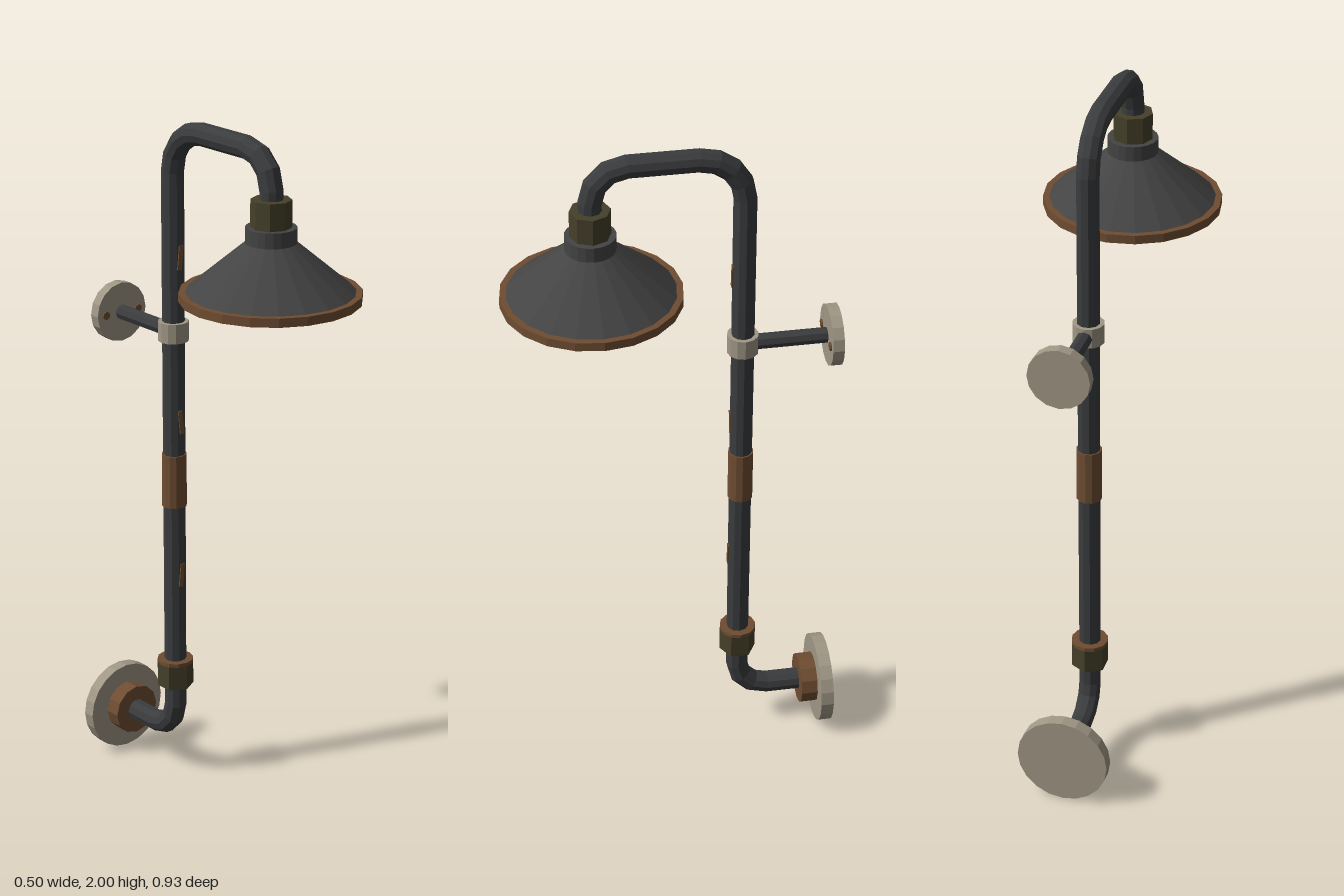
import * as THREE from 'three';

const mat = (name, color) => {
  const m = new THREE.MeshStandardMaterial({ color, flatShading: true });
  m.name = name;
  return m;
};

// Faceted pipe swept along a path of [y, z] points, mitred at every bend
function pipeGeometry(path, radius, sides) {
  const pts = path.map(([y, z]) => new THREE.Vector3(0, y, z));
  const X = new THREE.Vector3(1, 0, 0);
  const pos = [], index = [];
  pts.forEach((p, i) => {
    const t0 = pts[Math.max(i, 1)].clone().sub(pts[Math.max(i, 1) - 1]).normalize();
    const k = Math.min(i, pts.length - 2);
    const t1 = pts[k + 1].clone().sub(pts[k]).normalize();
    const T = t0.clone().add(t1).normalize();
    const N = T.clone().cross(X).divideScalar(T.dot(t0));
    for (let j = 0; j < sides; j++) {
      const a = (j / sides) * Math.PI * 2;
      const v = p.clone().addScaledVector(X, radius * Math.cos(a)).addScaledVector(N, radius * Math.sin(a));
      pos.push(v.x, v.y, v.z);
      if (i < pts.length - 1) {
        const a0 = i * sides + j, b0 = i * sides + (j + 1) % sides;
        index.push(a0, b0, a0 + sides, b0, b0 + sides, a0 + sides);
      }
    }
  });
  const g = new THREE.BufferGeometry();
  g.setAttribute('position', new THREE.Float32BufferAttribute(pos, 3));
  g.setIndex(index);
  g.computeVertexNormals();
  return g;
}

// Points of a quarter bend in the [y, z] plane
function bend(cy, cz, r, from, to, steps) {
  return Array.from({ length: steps + 1 }, (_, i) => {
    const a = THREE.MathUtils.degToRad(from + ((to - from) * i) / steps);
    return [cy + r * Math.sin(a), cz + r * Math.cos(a)];
  });
}

export function createModel() {
  const group = new THREE.Group();
  const iron = mat('dark iron', 0x3b3c3e);
  const shadeGrey = mat('shade grey', 0x444444);
  const copper = mat('rusty copper', 0x6f4d32);
  const brass = mat('aged brass', 0x45402a);
  const stone = mat('pale nickel', 0xa09785);
  const plateGrey = mat('spray plate grey', 0x504d44);
  const black = mat('nozzle black', 0x1e1e1e);

  const PZ = -0.195, HZ = 0.219; // riser and shower head depth

  const add = (name, geo, material, x = 0, y = 0, z = 0) => {
    const m = new THREE.Mesh(geo, material);
    m.name = name;
    m.position.set(x, y, z);
    group.add(m);
    return m;
  };
  // Upright drum between two heights
  const drum = (name, material, rTop, rBot, y0, y1, z, sides) =>
    add(name, new THREE.CylinderGeometry(rTop, rBot, y1 - y0, sides), material, 0, (y0 + y1) / 2, z);
  // Drum lying along z between two depths
  const disc = (name, material, r, z0, z1, x, y, sides) =>
    add(name, new THREE.CylinderGeometry(r, r, z1 - z0, sides).rotateX(Math.PI / 2), material, x, y, (z0 + z1) / 2);

  // Main pipe: wall elbow, riser, gooseneck
  add('mainPipe', pipeGeometry([
    [0.135, -0.44],
    ...bend(0.225, PZ - 0.09, 0.09, -90, 0, 3),
    ...bend(1.84, PZ - 0.127 + 0.002, 0.125, 0, 0, 0).slice(1),
    ...bend(1.842, PZ + 0.125, 0.125, 180, 90, 4),
    ...bend(1.867, HZ - 0.1, 0.1, 90, 0, 3),
    [1.76, HZ],
  ], 0.032, 10), iron);

  // Lower wall mount
  disc('lowerWallFlange', stone, 0.132, -0.467, -0.43, 0, 0.132, 20);
  disc('lowerEscutcheon', copper, 0.075, -0.43, -0.382, 0, 0.135, 12);

  // Riser fittings
  drum('lowerNut', brass, 0.053, 0.053, 0.288, 0.362, PZ, 6);
  drum('lowerNutRing', copper, 0.053, 0.053, 0.362, 0.373, PZ, 12);
  drum('copperSleeve', copper, 0.036, 0.036, 0.855, 1.013, PZ, 12);
  drum('clamp', stone, 0.044, 0.044, 1.353, 1.41, PZ, 12);

  // Rust patches on the front of the riser
  [0.645, 1.115, 1.6].forEach((y, i) => {
    const patch = add('rustPatch', new THREE.BoxGeometry(0.014, 0.07, 0.006), copper, 0, y, PZ + 0.031);
    patch.rotation.z = i % 2 ? 0.1 : -0.1;
  });

  // Upper wall bracket
  disc('bracketArm', iron, 0.022, -0.44, PZ - 0.02, 0, 1.38, 8);
  disc('upperWallFlange', stone, 0.087, -0.462, -0.43, 0, 1.38, 16);
  for (const s of [-1, 1]) disc('flangeScrew', copper, 0.012, -0.432, -0.425, s * 0.058, 1.38, 8);

  // Shower head
  drum('headNut', brass, 0.056, 0.056, 1.77, 1.845, HZ, 8);
  drum('headNeck', shadeGrey, 0.07, 0.07, 1.725, 1.77, HZ, 20);
  drum('shade', shadeGrey, 0.07, 0.235, 1.588, 1.727, HZ, 20);
  drum('shadeRim', copper, 0.248, 0.248, 1.567, 1.592, HZ, 20);
  drum('sprayPlate', plateGrey, 0.232, 0.232, 1.563, 1.57, HZ, 20);

  // Nozzles: one in the middle and two rings
  const nozzle = (r, x, z) =>
    add('nozzle', new THREE.CylinderGeometry(r, r, 0.012, 8), black, x, 1.56, HZ + z);
  nozzle(0.016, 0, 0);
  for (const [count, ring] of [[6, 0.085], [12, 0.175]]) {
    for (let i = 0; i < count; i++) {
      const a = (i / count) * Math.PI * 2;
      nozzle(0.011, ring * Math.cos(a), ring * Math.sin(a));
    }
  }
  return group;
}
